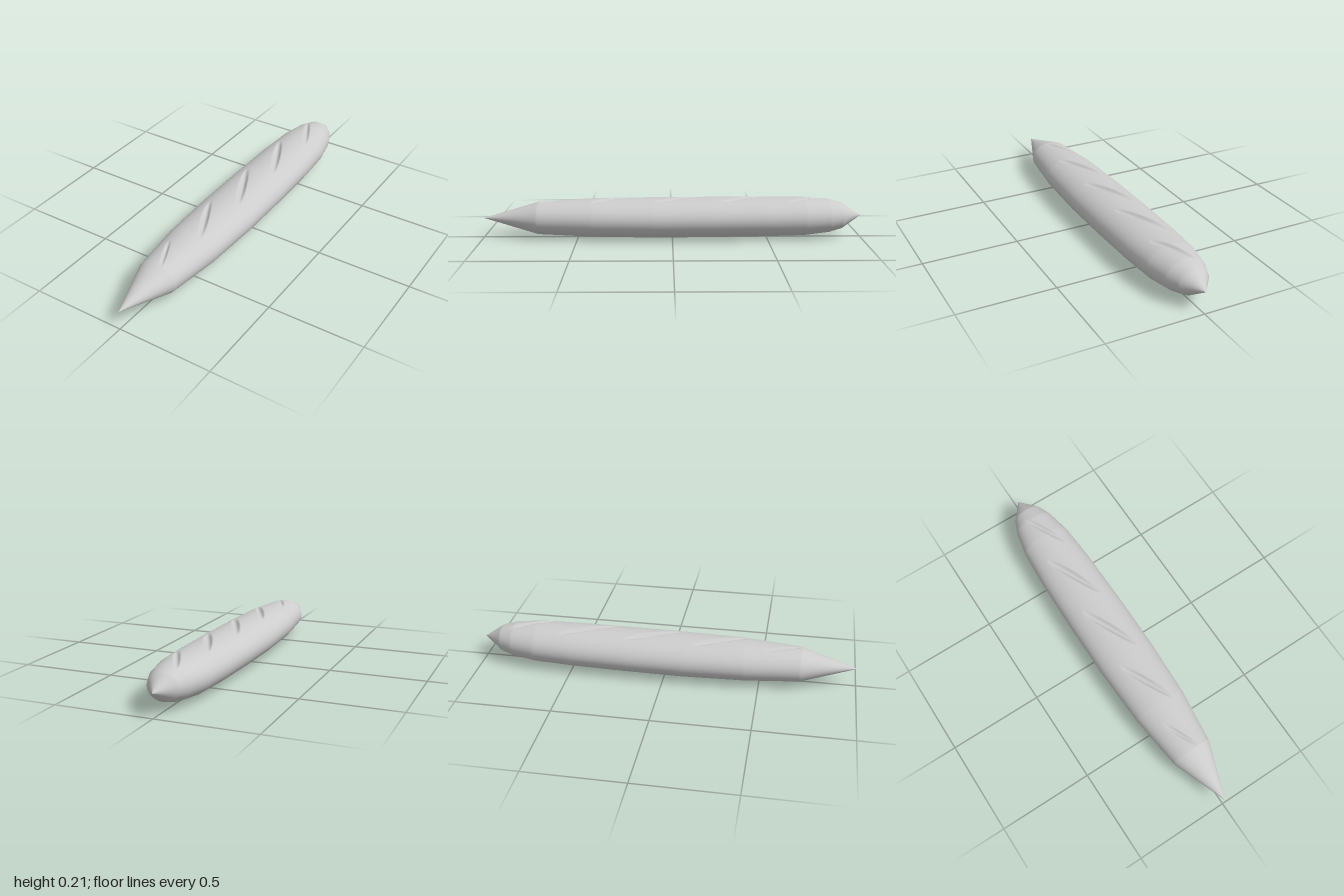
import * as THREE from 'three';

// Loaf cross-sections: z, half width, bottom y, top y
const STATIONS = [
  [-1, 0, 0.115, 0.115], [-0.9, 0.08, 0.046, 0.182], [-0.83, 0.109, 0.026, 0.2],
  [-0.7, 0.136, 0.011, 0.211], [-0.5, 0.149, 0.006, 0.212], [-0.2, 0.155, 0.002, 0.211],
  [0.1, 0.155, 0, 0.209], [0.42, 0.143, 0.005, 0.205], [0.71, 0.108, 0.018, 0.188],
  [1, 0, 0.103, 0.103],
];

// Diagonal scores on the top: start x, z and end x, z
const SCORES = [
  [-0.045, -0.85, 0.07, -0.61], [-0.07, -0.565, 0.07, -0.255], [-0.07, -0.21, 0.07, 0.095],
  [-0.07, 0.15, 0.065, 0.435], [-0.055, 0.525, 0.03, 0.71],
];

// Depth of the scored grooves at a point on the top of the crust
function scoreDepth(x, z) {
  for (const [x0, z0, x1, z1] of SCORES) {
    const length = Math.hypot(x1 - x0, z1 - z0);
    const ux = (x1 - x0) / length, uz = (z1 - z0) / length;
    const dx = x - (x0 + x1) / 2, dz = z - (z0 + z1) / 2;
    const along = (dx * ux + dz * uz) / (length / 2);
    const across = (dx * uz - dz * ux) / (length * 0.06);
    const r2 = along * along + across * across;
    if (r2 < 1) return 0.05 * length * (1 - r2);
  }
  return 0;
}

function loafGeometry() {
  // Straight runs between the stations, split finely enough for the grooves
  const rows = [];
  for (let i = 0; i + 1 < STATIONS.length; i++) {
    const a = STATIONS[i], b = STATIONS[i + 1];
    const steps = Math.ceil((b[0] - a[0]) / 0.007);
    for (let s = 0; s < steps; s++) rows.push(a.map((v, k) => v + (b[k] - v) * s / steps));
  }
  rows.push(STATIONS[STATIONS.length - 1]);

  const sides = 132, positions = [], indices = [];
  rows.forEach(([z, w, bottom, top], r) => {
    for (let i = 0; i < sides; i++) {
      // Angle from the top, with the sides packed closer there
      const phi = (i / sides) * Math.PI * 2;
      const theta = phi - 0.65 * Math.sin(phi);
      const x = w * Math.sin(theta), c = Math.cos(theta);
      const y = (bottom + top) / 2 + (top - bottom) / 2 * c;
      positions.push(x, c > 0 ? y - scoreDepth(x, z) : y, z);
      if (r + 1 < rows.length) {
        const a = r * sides + i, b = r * sides + (i + 1) % sides;
        indices.push(a, a + sides, b, b, a + sides, b + sides);
      }
    }
  });
  const geometry = new THREE.BufferGeometry();
  geometry.setAttribute('position', new THREE.Float32BufferAttribute(positions, 3));
  geometry.setIndex(indices);
  geometry.computeVertexNormals();
  return geometry;
}

export function createModel() {
  const model = new THREE.Group();
  model.name = 'breadLoaf';
  const crust = new THREE.MeshStandardMaterial({ color: 0xcccccc });
  crust.name = 'crust';
  const loaf = new THREE.Mesh(loafGeometry(), crust);
  loaf.name = 'scoredLoaf';
  model.add(loaf);
  return model;
}
